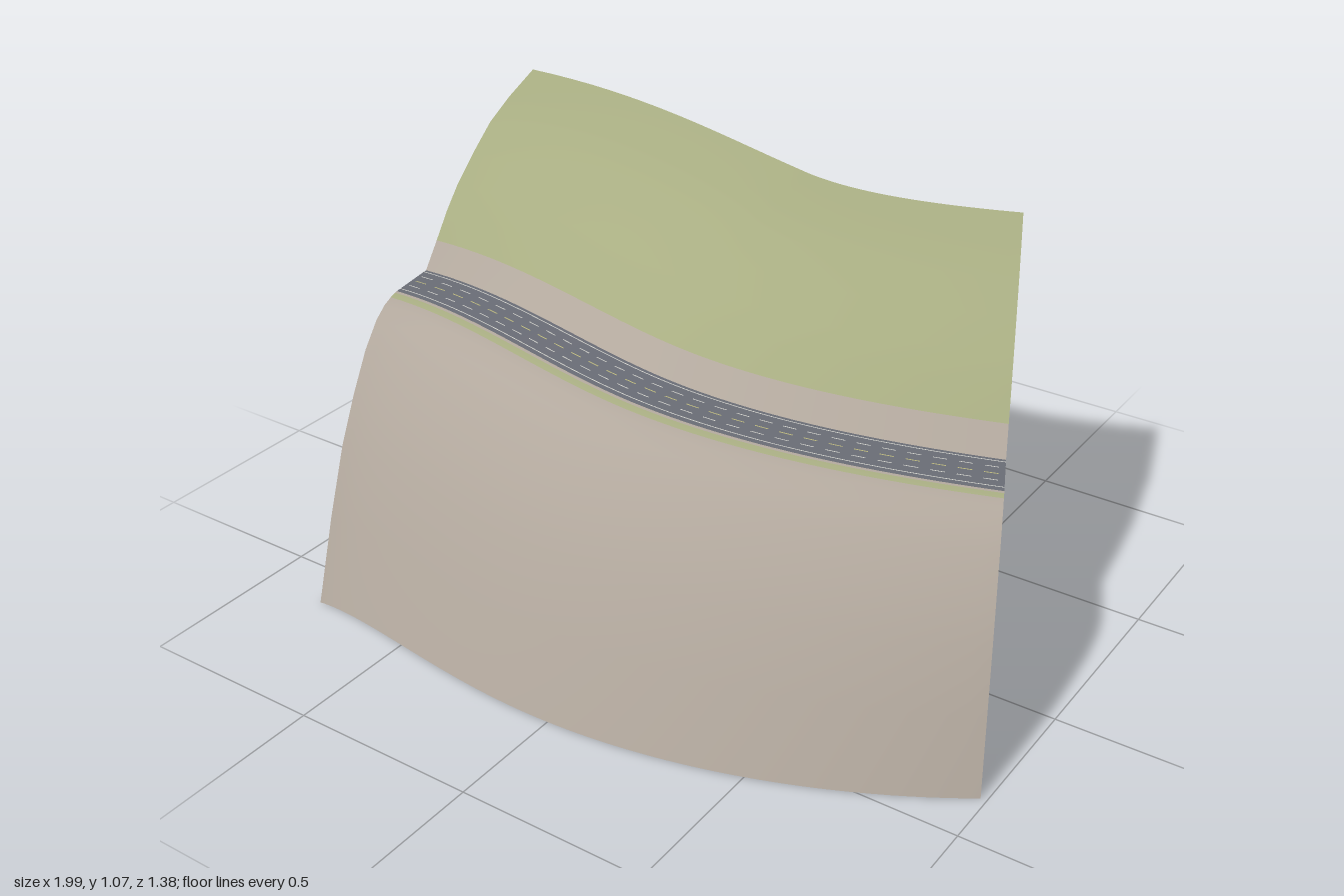
import * as THREE from 'three';

const material = (name, color, side = THREE.DoubleSide) => {
  const m = new THREE.MeshStandardMaterial({ color, side });
  m.name = name;
  return m;
};

// Road centre line in plan (x, z)
const v = (x, z) => new THREE.Vector2(x, z);
const path = new THREE.CurvePath();
path.add(new THREE.CubicBezierCurve(v(-0.89, 0.1), v(-0.63, 0.057), v(-0.33, 0.16), v(-0.05, 0.16)));
path.add(new THREE.CubicBezierCurve(v(-0.05, 0.16), v(0.23, 0.16), v(0.51, 0.07), v(0.79, -0.06)));

const HALF = 0.072;
const roadY = (u) => 0.7 - 0.12 * u;

// Point at distance u along the road, offset d to the valley side, height y
function place(u, d, y) {
  const p = path.getPoint(u), t = path.getTangent(u);
  return [p.x - t.y * d, y, p.y + t.x * d];
}

// Sheet from u0 to u1; rows run from the hill side to the valley side.
// Each row is u => [offset, height]; mats holds one material per gap between rows.
function sheet(name, rows, mats, u0 = 0, u1 = 1, steps = 48) {
  const pos = [], index = [], n = steps + 1;
  for (const row of rows) {
    for (let i = 0; i < n; i++) {
      const u = u0 + ((u1 - u0) * i) / steps;
      pos.push(...place(u, ...row(u)));
    }
  }
  const geo = new THREE.BufferGeometry();
  for (let j = 0; j < rows.length - 1; j++) {
    for (let i = 0; i < steps; i++) {
      const a = j * n + i, b = a + n;
      index.push(a, b, a + 1, b, b + 1, a + 1);
    }
    geo.addGroup(j * steps * 6, steps * 6, j);
  }
  geo.setAttribute('position', new THREE.Float32BufferAttribute(pos, 3));
  geo.setIndex(index);
  geo.computeVertexNormals();
  const mesh = new THREE.Mesh(geo, mats);
  mesh.name = name;
  return mesh;
}

export function createModel() {
  const model = new THREE.Group();
  model.name = 'hillsideRoad';
  const grass = material('grass', 0xa8ad82);
  const soil = material('soil', 0xb2a89d);
  const asphalt = material('asphalt', 0x6a6d76);
  const white = material('whitePaint', 0xd2d2cc, THREE.FrontSide);
  const yellow = material('yellowPaint', 0xbdb97c, THREE.FrontSide);

  // Upper hillside: soil cutting beside the road, grass above
  const upper = [[1, 1], [0.78, 0.905], [0.6, 0.8], [0.44, 0.645], [0.3, 0.49], [0.2, 0.345], [0.1, 0.17], [0, 0]];
  model.add(sheet(
    'upperHillside',
    upper.map(([f, h]) => (u) => [
      -HALF - 0.62 * f,
      roadY(u) + h * (0.37 - 0.025 * Math.sin(Math.PI * u)),
    ]),
    upper.slice(1).map((p, j, a) => (j === a.length - 1 ? soil : grass)),
  ));

  // Lower hillside: soil shoulder, narrow grass verge, then soil down to the ground
  const lower = [[0, 1], [0.02, 0.999], [0.065, 0.993], [0.13, 0.98], [0.22, 0.945], [0.35, 0.86],
    [0.5, 0.72], [0.65, 0.555], [0.82, 0.305], [1, 0]];
  model.add(sheet(
    'lowerHillside',
    lower.map(([f, h]) => (u) => [HALF + f * (0.465 - 0.075 * u ** 4), h * roadY(u)]),
    lower.slice(1).map((p, j) => (j === 1 ? grass : soil)),
  ));

  // Road surface
  model.add(sheet('roadSurface', [-HALF, HALF].map((d) => (u) => [d, roadY(u)]), [asphalt]));

  // Painted lines, slightly above the road
  const line = (name, d, width, mat, u0, u1, steps) => model.add(sheet(
    name, [d - width / 2, d + width / 2].map((o) => (u) => [o, roadY(u) + 0.002]), [mat], u0, u1, steps));

  for (const s of [-1, 1]) line('edgeLine', s * 0.058, 0.003, white, 0, 1, 48);
  const dashes = 28;
  for (let i = 0; i < dashes; i++) {
    const u0 = (i + 0.2) / dashes, u1 = (i + 0.75) / dashes;
    line('centreDash', 0, 0.0035, yellow, u0, u1, 3);
    for (const s of [-1, 1]) line('laneDash', s * 0.03, 0.003, white, u0, u1, 3);
  }
  return model;
}
